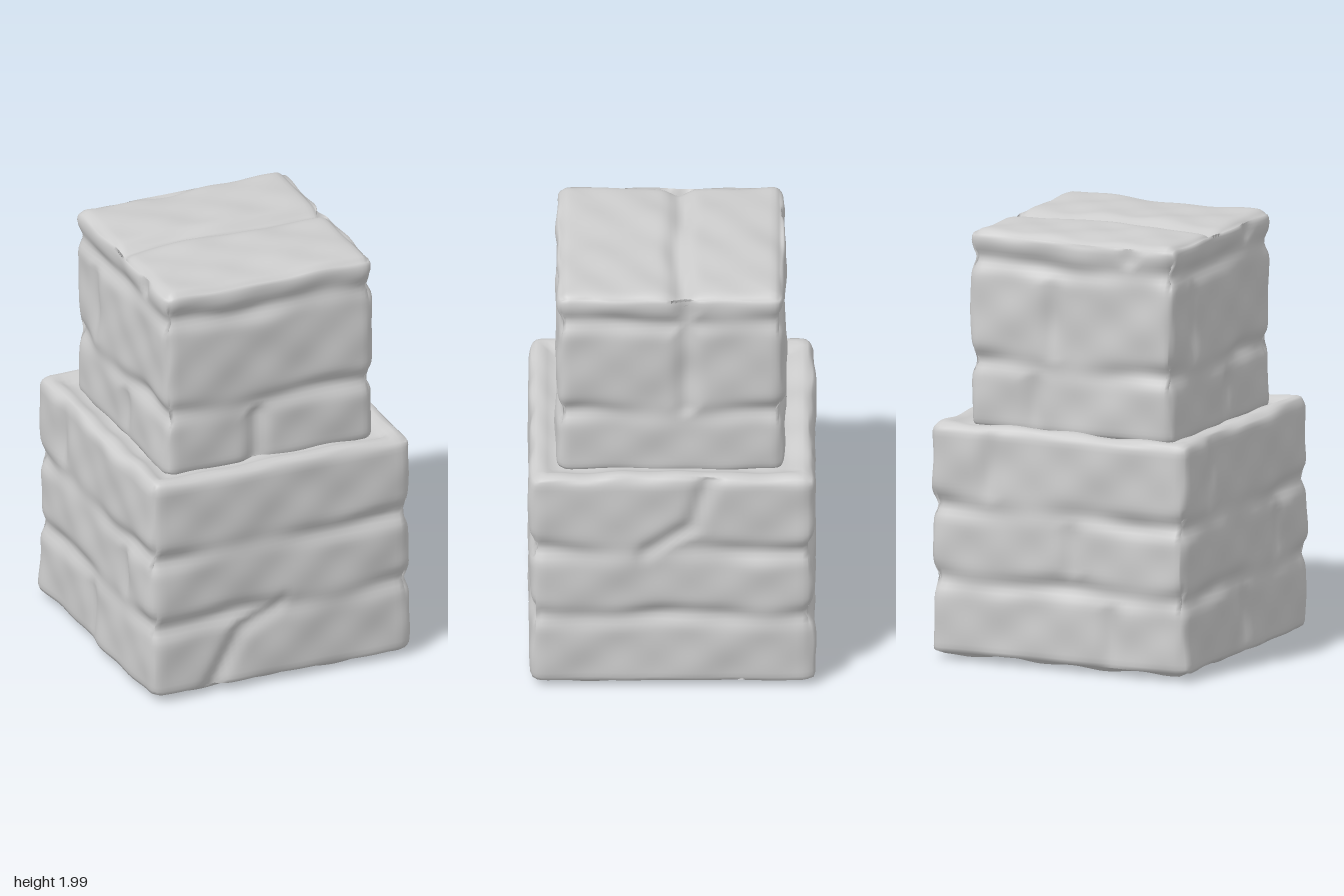
import * as THREE from 'three';
import { mergeVertices } from 'three/addons/utils/BufferGeometryUtils.js';

// Smooth, repeatable unevenness for the worn faces
const wobble = (u, v, s) =>
  0.006 * Math.sin(7.1 * u + 1.7 * s) * Math.cos(6.3 * v + 2.3 * s) +
  0.004 * Math.sin(14 * u + 8 * v + s) * Math.cos(10 * v - 5 * u + 2 * s) +
  0.004 * Math.sin(23 * v + 1.3 * s) * Math.sin(19 * u + 3.1 * s);

// Soft groove profile: 1 in the middle of a joint, falling to 0 beside it
const groove = (distance) => Math.exp(-((distance / 0.045) ** 2));

// Distance from (u, v) to the straight crack between two points
function crackDistance(u, v, from, to) {
  const a = new THREE.Vector3(...from, 0), b = new THREE.Vector3(...to, 0);
  const p = new THREE.Vector3(u, v, 0);
  return new THREE.Line3(a, b).closestPointToPoint(p, true, new THREE.Vector3()).distanceTo(p);
}

// Depth pressed into the top or bottom: slab joints, worn edges and the trough inside a raised rim
function capDepth(block, face, u, v) {
  const reach = Math.max(Math.abs(u), Math.abs(v - block.z));
  const bend = 0.012 * Math.sin(9 * u + block.seed);
  const joints = block[face].map((z) => 0.033 * groove(v - z + bend));
  const trough = face === 'top' ? block.trough * (1 - THREE.MathUtils.smoothstep(reach, 0.53, 0.6)) : 0;
  const worn = face === 'top' && block.trough ? 0 : 0.014 * (reach * 2 / block.width) ** 6;
  return Math.max(0, ...joints) + trough + worn;
}

// Depth pressed into a side: courses strongest at the corners, staggered uprights and cracks
function sideDepth(block, face, u, v) {
  const bend = 0.012 * Math.sin(8 * u + block.seed + face.length);
  const corner = Math.min(1, Math.abs(u) * 2 / block.width) ** 4;
  const course = block.courses.filter((y) => v > y).length;
  const joints = block.courses.map((y, i) => {
    const patch = 0.018 + 0.012 * Math.sin(5 * u + block.seed + 2.4 * i + 1.7 * face.length);
    return (patch * (1 - corner) + 0.034 * corner) * groove(v - y + bend);
  });
  const cracks = block.cracks.filter((crack) => crack.face === face);
  for (const { from, to } of cracks) joints.push(0.027 * groove(crackDistance(u, v, from, to)));
  if (cracks.length === 0) {
    const upright = block.width * 0.3 * Math.sin(block.seed + 2.3 * face.length + 2.2 * course);
    const levels = [block.bottomY, ...block.courses, block.topY];
    const within = Math.sin((Math.PI * (v - levels[course])) / (levels[course + 1] - levels[course]));
    joints.push(0.022 * Math.max(0, within) * groove(u - upright));
  }
  return Math.max(...joints);
}

// Rounded block with joints pressed into all six faces
function stoneBlock(block, material) {
  const N = 48, radius = 0.055;
  const faceNames = [['right', 'left'], ['bottom', 'top'], ['back', 'front']];
  const size = [block.width, block.topY - block.bottomY, block.width];
  const centre = [0, (block.topY + block.bottomY) / 2, block.z];
  let geo = new THREE.BoxGeometry(...size, N, N, N);
  geo.deleteAttribute('normal');
  geo.deleteAttribute('uv');
  geo = mergeVertices(geo, 1e-4);
  const pos = geo.attributes.position;
  for (let i = 0; i < pos.count; i++) {
    const p = new THREE.Vector3().fromBufferAttribute(pos, i).toArray();
    const world = p.map((c, k) => c + centre[k]);
    // round the edges
    const inner = p.map((c, k) => THREE.MathUtils.clamp(c, radius - size[k] / 2, size[k] / 2 - radius));
    const out = p.map((c, k) => c - inner[k]);
    const len = Math.hypot(...out);
    const q = inner.map((c, k) => c + (out[k] / len) * radius + centre[k]);
    // press the joints into each face this vertex belongs to
    for (let k = 0; k < 3; k++) {
      if (Math.abs(p[k]) < size[k] / 2 - 1e-4) continue;
      const sign = Math.sign(p[k]);
      const face = faceNames[k][sign > 0 ? 1 : 0];
      const u = k === 0 ? world[2] : world[0];
      const v = k === 1 ? world[2] : world[1];
      const depth = k === 1 ? capDepth(block, face, u, v) : sideDepth(block, face, u, v);
      q[k] += sign * (wobble(u, v, block.seed + 1.9 * k + sign) - depth);
    }
    pos.setXYZ(i, ...q);
  }
  geo.computeVertexNormals();
  const mesh = new THREE.Mesh(geo, material);
  mesh.name = block.name;
  return mesh;
}

export function createModel() {
  const stone = new THREE.MeshStandardMaterial({ color: 0xcccccc });
  stone.name = 'grey stone';
  const model = new THREE.Group();
  model.name = 'stackedStoneBlocks';

  // Wide lower block, with slanting cracks and a raised rim around its top
  model.add(stoneBlock({
    name: 'lowerBlock', width: 1.295, bottomY: 0.015, topY: 1.105, z: 0.005, seed: 1,
    courses: [0.38, 0.72], top: [], bottom: [0.15, -0.3], trough: 0.025,
    cracks: [
      { face: 'front', from: [-0.34, 0.05], to: [-0.2, 0.3] },
      { face: 'front', from: [-0.2, 0.3], to: [0, 0.39] },
      { face: 'left', from: [0.12, 0.72], to: [-0.08, 0.85] },
      { face: 'left', from: [-0.08, 0.85], to: [-0.16, 1.08] },
    ],
  }, stone));

  // Narrower upper block, with a slab joint across its top
  model.add(stoneBlock({
    name: 'upperBlock', width: 1.035, bottomY: 1.05, topY: 1.985, z: 0.01, seed: 4,
    courses: [1.37, 1.84], top: [-0.03], bottom: [], trough: 0,
    cracks: [
      { face: 'front', from: [-0.07, 1.1], to: [-0.06, 1.3] },
      { face: 'left', from: [-0.06, 1.4], to: [-0.06, 1.95] },
    ],
  }, stone));

  return model;
}
